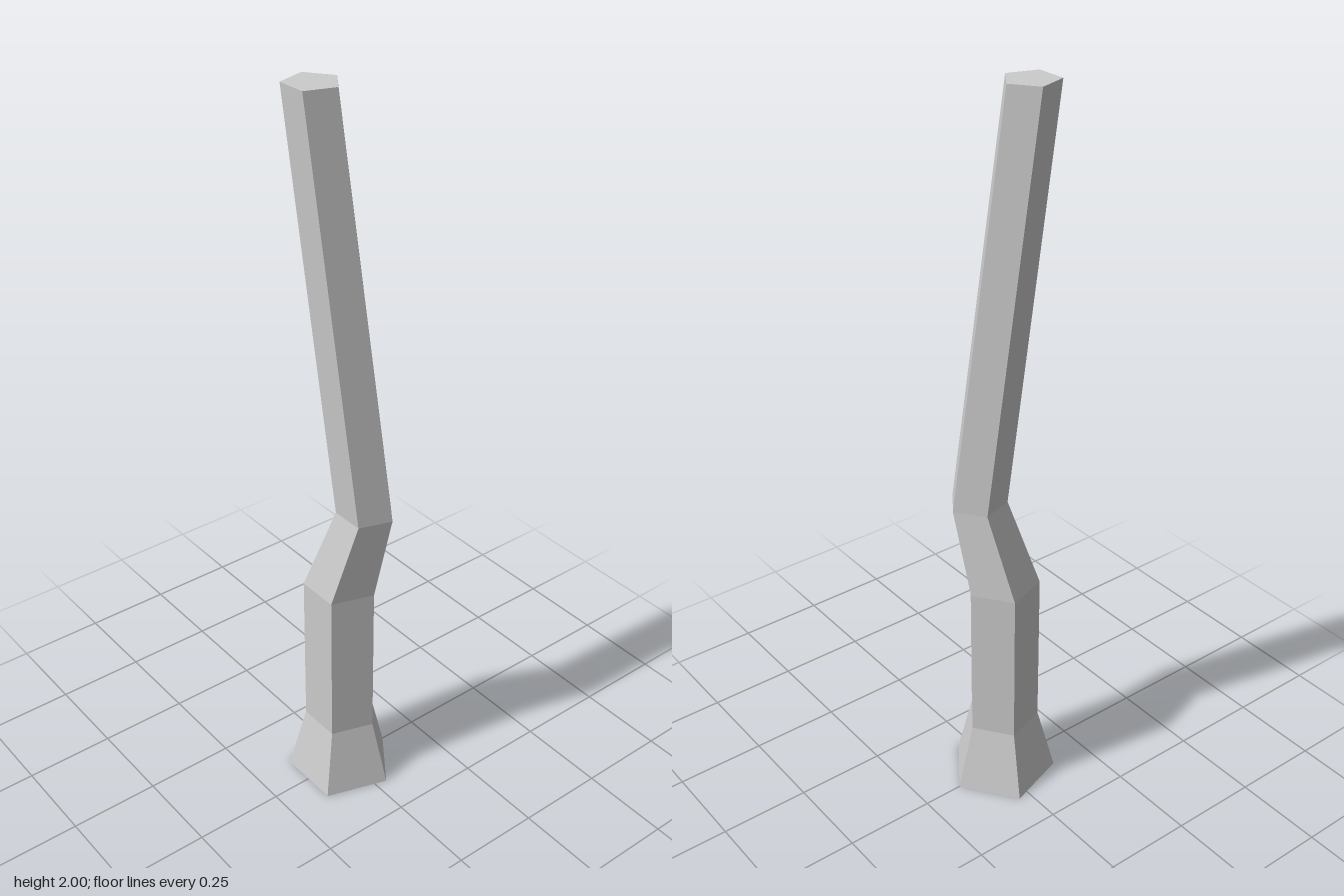
import * as THREE from 'three';

// Cross-sections from the ground up: centre x, height, centre z, radius
const RINGS = [
  [0, 0, 0.013, 0.151],
  [0, 0.19, 0.013, 0.102],
  [0, 0.64, 0.013, 0.102],
  [0.055, 0.88, -0.025, 0.079],
  [-0.044, 2, 0.06, 0.0705],
];

// Five-sided capped column whose rings are moved onto the given sections
function bentColumn(rings, sides) {
  const steps = rings.length - 1;
  const geometry = new THREE.CylinderGeometry(1, 1, 1, sides, steps, false, Math.PI);
  const p = geometry.attributes.position;
  for (let i = 0; i < p.count; i++) {
    const [x, y, z, r] = rings[Math.round((p.getY(i) + 0.5) * steps)];
    p.setXYZ(i, x + p.getX(i) * r, y, z + p.getZ(i) * r);
  }
  geometry.computeVertexNormals();
  return geometry;
}

export function createModel() {
  const group = new THREE.Group();
  group.name = 'bentTrunk';
  const material = new THREE.MeshStandardMaterial({ color: 0xcccccc, flatShading: true });

  // Flared foot, straight lower stem, kink and leaning upper stem in one skin
  const trunk = new THREE.Mesh(bentColumn(RINGS, 5), material);
  trunk.name = 'trunk';
  group.add(trunk);
  return group;
}
